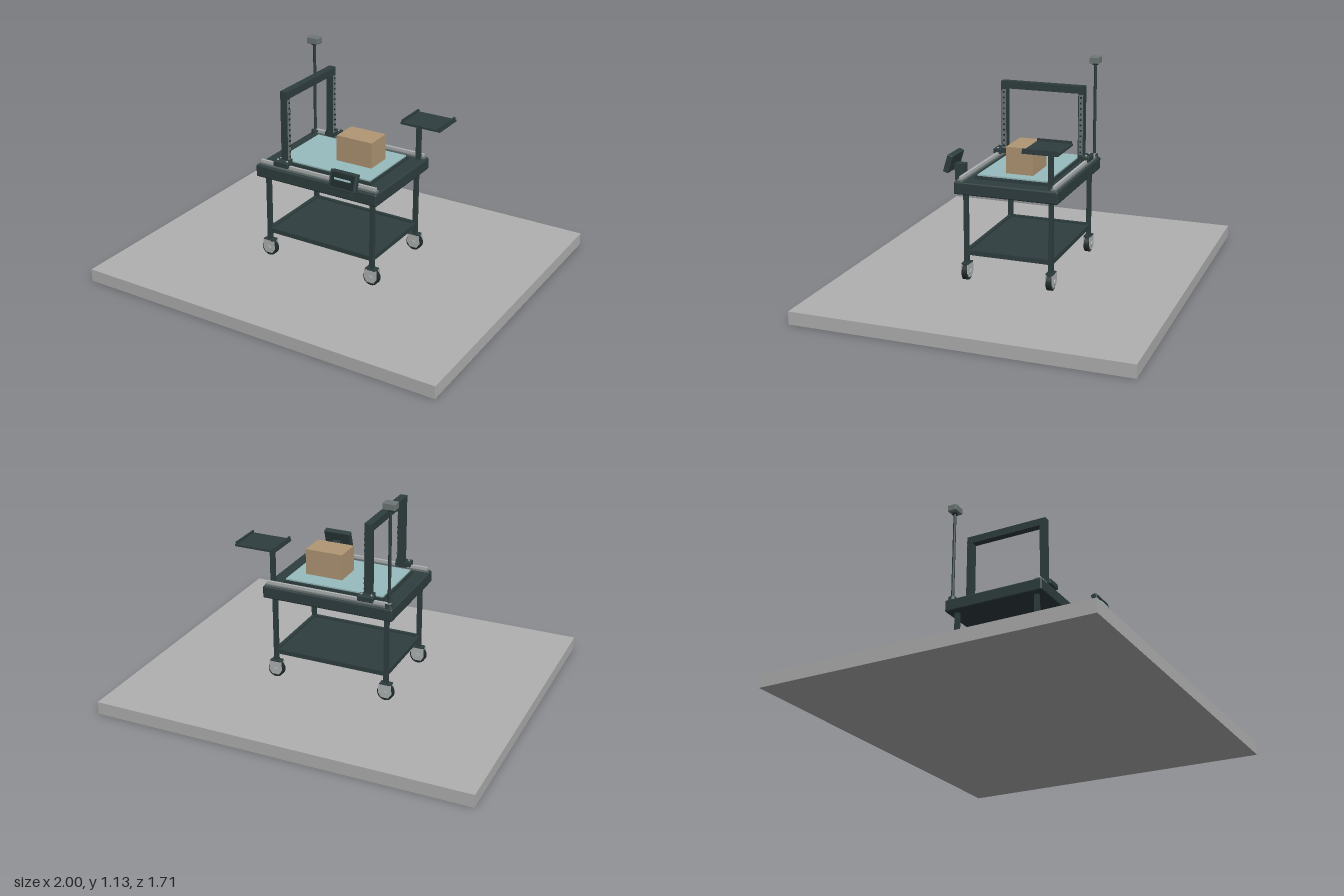
import * as THREE from 'three';
import { RoundedBoxGeometry } from 'three/addons/geometries/RoundedBoxGeometry.js';

export function createModel() {
  const model = new THREE.Group();
  model.name = 'scanningCart';

  const mat = (name, color) => {
    const m = new THREE.MeshStandardMaterial({ color });
    m.name = name;
    return m;
  };
  const floorGrey = mat('floorGrey', 0xb0b0b0);
  const frameDark = mat('frameDark', 0x2f3e3f);
  const trimDark = mat('trimDark', 0x212b2c);
  const steel = mat('steel', 0xb0b3b3);
  const sensorGrey = mat('sensorGrey', 0x6d7676);
  const bedTeal = mat('bedTeal', 0x98bcbe);
  const cardboard = mat('cardboard', 0xb09674);

  const add = (name, geo, material, x, y, z, parent = model) => {
    const mesh = new THREE.Mesh(geo, material);
    mesh.name = name;
    mesh.position.set(x, y, z);
    parent.add(mesh);
    return mesh;
  };
  // Box given by its lower and upper corners
  const box = (name, material, [x0, y0, z0], [x1, y1, z1], parent = model, r = 0) => {
    const s = [x1 - x0, y1 - y0, z1 - z0];
    const geo = r ? new RoundedBoxGeometry(...s, 2, r) : new THREE.BoxGeometry(...s);
    return add(name, geo, material, (x0 + x1) / 2, (y0 + y1) / 2, (z0 + z1) / 2, parent);
  };

  box('floor', floorGrey, [-1, 0, -0.855], [1, 0.067, 0.855]);

  // Table body and inset bed
  box('tableBody', frameDark, [-0.355, 0.525, -0.273], [0.355, 0.59, 0.273], model, 0.008);
  box('bedFrame', frameDark, [-0.28, 0.585, -0.195], [0.275, 0.606, 0.19]);
  box('bedSurface', bedTeal, [-0.27, 0.606, -0.186], [0.266, 0.613, 0.18]);

  // Fork plate with cut lower corners
  const plate = new THREE.Shape([
    [-0.034, 0.04], [-0.036, -0.008], [-0.02, -0.032], [0.02, -0.032], [0.036, -0.008], [0.034, 0.04],
  ].reverse().map(([x, y]) => new THREE.Vector2(x, y)));
  const plateGeo = new THREE.ExtrudeGeometry(plate, { depth: 0.004, bevelEnabled: false });
  const wheelGeo = new THREE.CylinderGeometry(0.043, 0.043, 0.026, 28).rotateX(Math.PI / 2);
  const hubGeo = new THREE.CylinderGeometry(0.014, 0.014, 0.05, 16).rotateX(Math.PI / 2);

  // Legs and casters at the four corners
  for (const sx of [-1, 1]) for (const sz of [-1, 1]) {
    const x = sx * 0.309, z = sz * 0.225;
    box('leg', frameDark, [x - 0.011, 0.155, z - 0.011], [x + 0.011, 0.53, z + 0.011]);
    const caster = new THREE.Group();
    caster.name = 'caster';
    caster.position.set(x, 0.11, z);
    model.add(caster);
    add('wheel', wheelGeo, trimDark, 0, 0, 0, caster);
    add('hub', hubGeo, steel, 0, 0, 0, caster);
    add('forkFront', plateGeo, steel, 0, 0.005, 0.015, caster);
    add('forkBack', plateGeo, steel, 0, 0.005, -0.019, caster);
    box('forkTop', frameDark, [-0.03, 0.042, -0.019], [0.03, 0.05, 0.019], caster);
  }

  // Lower shelf with raised edges
  box('shelf', frameDark, [-0.31, 0.205, -0.22], [0.31, 0.216, 0.22]);
  for (const s of [-1, 1]) {
    box('shelfSideEdge', frameDark, [s * 0.309 - 0.009, 0.201, -0.225], [s * 0.309 + 0.009, 0.226, 0.225]);
    box('shelfLongEdge', frameDark, [-0.309, 0.201, s * 0.225 - 0.009], [0.309, 0.226, s * 0.225 + 0.009]);
  }

  // Linear rails along the two long edges
  for (const z of [-0.248, 0.243]) {
    box('railBase', sensorGrey, [-0.345, 0.59, z - 0.014], [0.345, 0.599, z + 0.014]);
    box('rail', steel, [-0.338, 0.599, z - 0.007], [0.338, 0.614, z + 0.007]);
  }

  // Gantry arch with sensor strips
  const gantry = new THREE.Group();
  gantry.name = 'gantry';
  model.add(gantry);
  const ledGeo = new THREE.BoxGeometry(0.006, 0.008, 0.008);
  for (const s of [-1, 1]) {
    const z = s * 0.213, zr = s * 0.246;
    box('carriage', frameDark, [-0.25, 0.604, zr - 0.021], [-0.165, 0.634, zr + 0.021], gantry, 0.004);
    box('footBracket', frameDark, [-0.235, 0.61, z - 0.015], [-0.18, 0.634, z + 0.015], gantry);
    box('column', frameDark, [-0.225, 0.61, z - 0.016], [-0.188, 0.998, z + 0.016], gantry);
    box('sensorStrip', sensorGrey, [-0.189, 0.635, z - 0.011], [-0.185, 0.955, z + 0.011], gantry);
    for (let i = 0; i < 11; i++) add('sensorDot', ledGeo, trimDark, -0.183, 0.65 + i * 0.029, z, gantry);
    for (const x of [-0.235, -0.18])
      add('carriageBolt', new THREE.CylinderGeometry(0.005, 0.005, 0.005, 10), steel, x, 0.636, zr, gantry);
  }
  box('crossBeam', frameDark, [-0.226, 0.96, -0.229], [-0.187, 0.999, 0.229], gantry);

  // Camera mast at the back corner
  add('mastBase', new THREE.CylinderGeometry(0.02, 0.022, 0.02, 20), frameDark, -0.328, 0.6, -0.245);
  add('mast', new THREE.CylinderGeometry(0.008, 0.008, 0.51, 16), frameDark, -0.328, 0.845, -0.245);
  box('mastHead', sensorGrey, [-0.361, 1.1, -0.27], [-0.295, 1.134, -0.22], model, 0.003);
  box('mastLens', trimDark, [-0.34, 1.09, -0.257], [-0.316, 1.1, -0.233]);

  // Side tray on its post
  box('trayPost', frameDark, [0.306, 0.585, -0.236], [0.328, 0.805, -0.214]);
  box('tray', frameDark, [0.257, 0.802, -0.315], [0.481, 0.813, -0.135]);
  for (const x of [0.265, 0.473])
    box('trayLip', frameDark, [x - 0.004, 0.812, -0.313], [x + 0.004, 0.826, -0.137]);

  // Control panel tilted toward the operator
  box('panelBracket', frameDark, [0.188, 0.56, 0.268], [0.233, 0.648, 0.318]);
  const panel = new THREE.Group();
  panel.name = 'controlPanel';
  panel.position.set(0.21, 0.657, 0.334);
  panel.rotation.x = -0.3;
  model.add(panel);
  box('panelBody', frameDark, [-0.075, -0.047, -0.016], [0.075, 0.047, 0.014], panel, 0.004);
  box('screen', trimDark, [-0.064, -0.036, 0.013], [0.064, 0.036, 0.016], panel);
  box('screenBar', bedTeal, [-0.046, 0.001, 0.015], [0.046, 0.011, 0.018], panel);

  // Parcel on the bed
  box('parcel', cardboard, [-0.005, 0.613, -0.09], [0.199, 0.75, 0.054]);

  return model;
}
